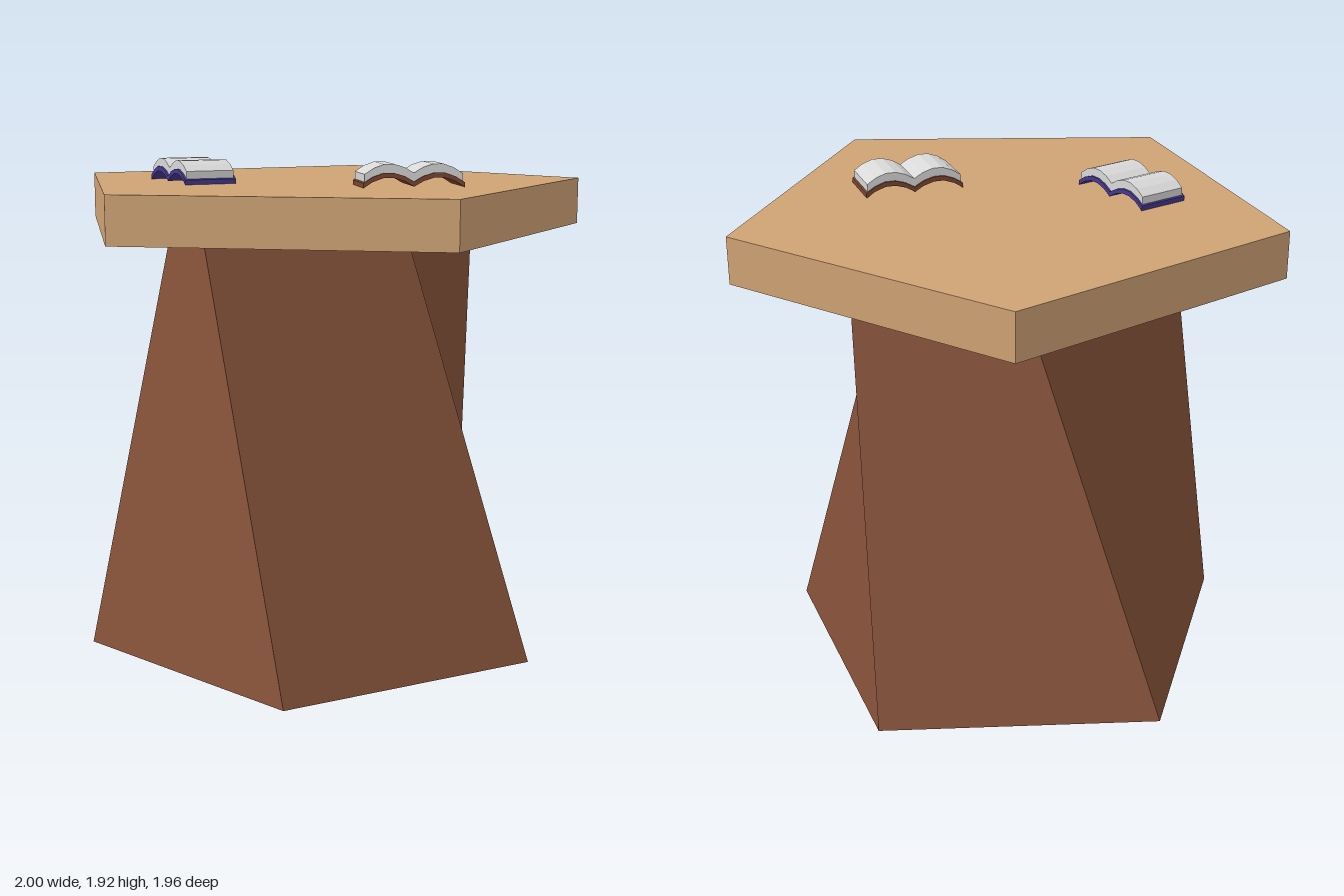
import * as THREE from 'three';

const mat = (name, color) => {
  const m = new THREE.MeshStandardMaterial({ color });
  m.name = name;
  return m;
};

// Regular pentagon as [x, z] points, starting at an angle measured from +z
const pentagon = (radius, start) => Array.from({ length: 5 }, (_, i) => {
  const a = start + i * Math.PI * 0.4;
  return [0.007 + radius * Math.sin(a), -0.07 + radius * Math.cos(a)];
});

// Twisted pentagonal pedestal, with one even normal over each side
function pedestalGeometry(height) {
  const low = pentagon(0.91, Math.PI / 5).map(([x, z]) => new THREE.Vector3(x, 0, z));
  const high = pentagon(0.635, 0.047).map(([x, z]) => new THREE.Vector3(x, height, z));
  const pos = [], nor = [];
  const tri = (a, b, c, n) => [a, b, c].forEach((p) => {
    pos.push(p.x, p.y, p.z);
    nor.push(n.x, n.y, n.z);
  });
  for (let i = 0; i < 5; i++) {
    const j = (i + 1) % 5;
    const n = high[j].clone().sub(low[i]).cross(high[i].clone().sub(low[j])).normalize();
    tri(low[i], low[j], high[i], n);
    tri(low[j], high[j], high[i], n);
  }
  const down = new THREE.Vector3(0, -1, 0), up = new THREE.Vector3(0, 1, 0);
  for (let i = 1; i < 4; i++) {
    tri(low[0], low[i + 1], low[i], down);
    tri(high[0], high[i], high[i + 1], up);
  }
  const g = new THREE.BufferGeometry();
  g.setAttribute('position', new THREE.Float32BufferAttribute(pos, 3));
  g.setAttribute('normal', new THREE.Float32BufferAttribute(nor, 3));
  return g;
}

// Slab whose section lies between two wavy lines, mirrored about the spine
function wavySlab(lower, upper, depth) {
  const mirror = (half) => [...half.slice(1).reverse().map(([x, y]) => [-x, y]), ...half];
  const outline = [...mirror(lower), ...mirror(upper).reverse()];
  const shape = new THREE.Shape(outline.map(([x, y]) => new THREE.Vector2(x, y)));
  return new THREE.ExtrudeGeometry(shape, { depth, bevelEnabled: false }).translate(0, 0, -depth / 2);
}

// Open book: arched cover with two arched page blocks
function openBook(name, coverMat, pageMat) {
  const book = new THREE.Group();
  book.name = name;
  const under = [[0, 0.004], [0.035, 0.024], [0.075, 0.036], [0.115, 0.036], [0.155, 0.022], [0.19, 0]];
  const lift = (dy, s) => under.map(([x, y]) => [x * s, y + dy]);
  const cover = new THREE.Mesh(wavySlab(under, lift(0.018, 1), 0.205), coverMat);
  cover.name = 'cover';
  const pages = new THREE.Mesh(wavySlab(lift(0.017, 0.97), lift(0.05, 0.97), 0.19), pageMat);
  pages.name = 'pages';
  book.add(cover, pages);
  return book;
}

export function createModel() {
  const root = new THREE.Group();
  root.name = 'readingTable';
  const tableWood = mat('light wood', 0xcfa274);
  const baseWood = mat('brown wood', 0x86523a);
  const paper = mat('paper', 0xd8d8d8);
  const purple = mat('purple cover', 0x46378c);
  const brown = mat('brown cover', 0x7a452e);

  const pedestal = new THREE.Mesh(pedestalGeometry(1.65), baseWood);
  pedestal.name = 'pedestal';

  // Five-sided table top, slightly uneven
  const corners = [[-0.02, 0.975], [1, 0.28], [0.65, -0.91], [-0.585, -0.94], [-1, 0.22]];
  const topShape = new THREE.Shape(corners.map(([x, z]) => new THREE.Vector2(x, -z)));
  const top = new THREE.Mesh(
    new THREE.ExtrudeGeometry(topShape, { depth: 0.18, bevelEnabled: false }).rotateX(-Math.PI / 2),
    tableWood
  );
  top.name = 'tableTop';
  top.position.y = 1.65;

  const leftBook = openBook('brownBook', brown, paper);
  leftBook.position.set(0.457, 1.83, -0.09);
  leftBook.rotation.y = 0.92;
  const rightBook = openBook('purpleBook', purple, paper);
  rightBook.position.set(-0.31, 1.83, 0.293);
  rightBook.rotation.y = -0.38;

  root.add(pedestal, top, leftBook, rightBook);
  return root;
}
